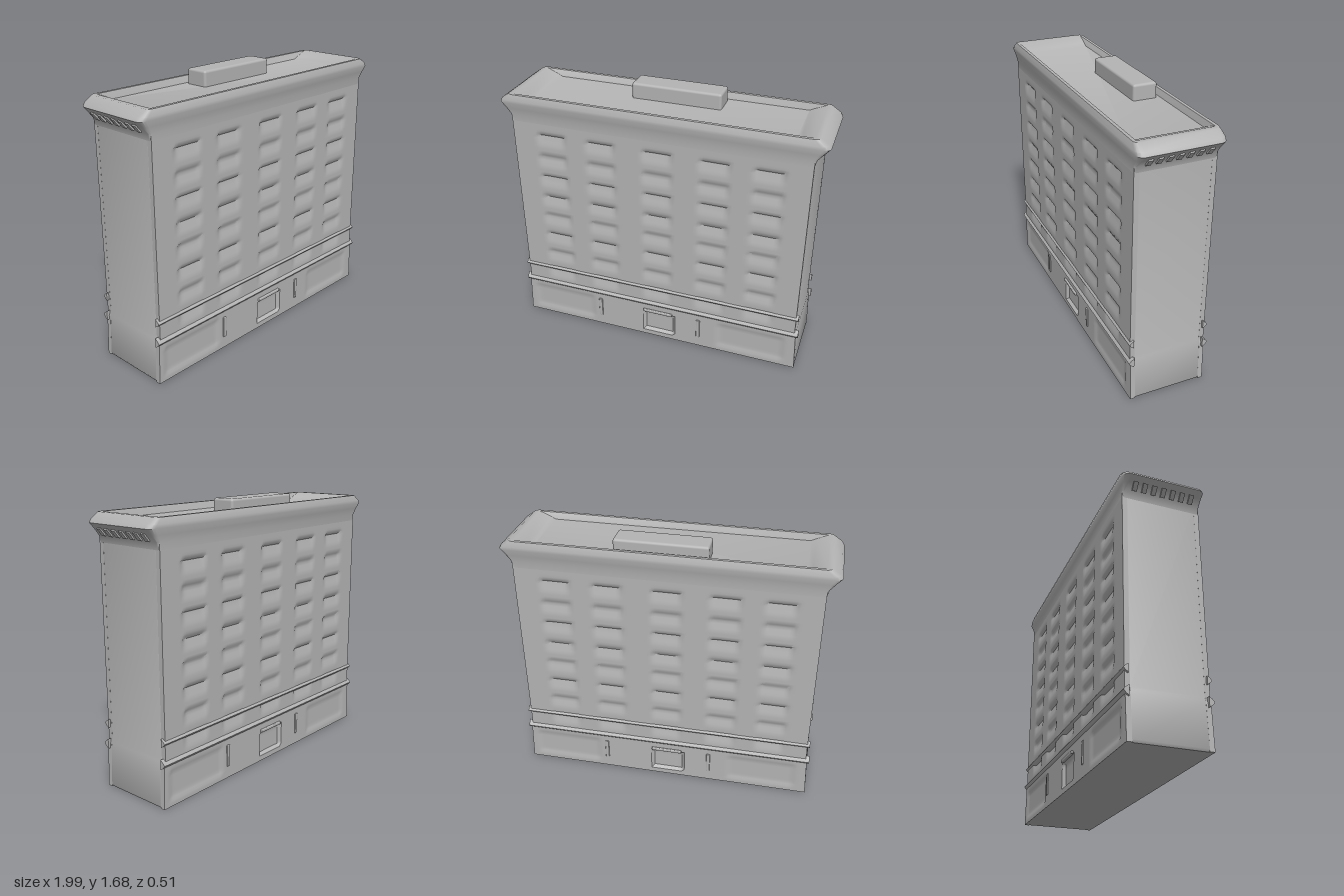
import * as THREE from 'three';
import { toCreasedNormals } from 'three/addons/utils/BufferGeometryUtils.js';
import { RoundedBoxGeometry } from 'three/addons/geometries/RoundedBoxGeometry.js';

const stone = new THREE.MeshStandardMaterial({ color: 0xb4b4b4 });
stone.name = 'grey stone';

function add(parent, name, geometry, x = 0, y = 0, z = 0) {
  const mesh = new THREE.Mesh(geometry, stone);
  mesh.name = name;
  mesh.position.set(x, y, z);
  parent.add(mesh);
  return mesh;
}

// Rounded rectangle outline, counter-clockwise seen from below
function outline([y, hx, hz, r]) {
  const points = [];
  [[1, 1], [-1, 1], [-1, -1], [1, -1]].forEach(([sx, sz], corner) => {
    for (let i = 0; i <= 3; i++) {
      const a = (corner + i / 3) * Math.PI / 2;
      points.push([sx * (hx - r) + r * Math.cos(a), y, sz * (hz - r) + r * Math.sin(a)]);
    }
  });
  return points;
}

// Skin over stacked outlines, closed at both ends
function loft(rings, crease) {
  const loops = rings.map(outline), n = loops[0].length, index = [];
  const vertices = loops.flat(2);
  for (let k = 0; k < loops.length - 1; k++) {
    for (let i = 0; i < n; i++) {
      const a = k * n + i, b = k * n + (i + 1) % n;
      index.push(a, a + n, b, b, a + n, b + n);
    }
  }
  const top = (loops.length - 1) * n;
  for (let i = 1; i < n - 1; i++) {
    index.push(0, i, i + 1, top, top + i + 1, top + i);
  }
  const geometry = new THREE.BufferGeometry();
  geometry.setAttribute('position', new THREE.Float32BufferAttribute(vertices, 3));
  geometry.setIndex(index);
  return toCreasedNormals(geometry, crease);
}

const smooth = THREE.MathUtils.smoothstep;
// 1 inside an interval, easing to 0 over a soft edge
const within = (v, a, b, soft) => smooth(v, a - soft, a) * (1 - smooth(v, b, b + soft));
const columns = [-0.67, -0.35, 0.01, 0.36, 0.68];
const halfWidth = (y) => (y < 0.28 ? 0.938 - 0.04 * y : 0.92);

// Depth of window and door recesses at a point of the wall
function recess(x, y) {
  let d = 0;
  for (const c of columns) {
    const across = within(x, c - 0.075, c + 0.075, 0.025);
    for (let row = 0; row < 8; row++) {
      const base = 0.31 + row * 0.143;
      const t = THREE.MathUtils.clamp((y - base) / 0.075, 0, 1);
      d += across * 0.017 * t * (1 - smooth(y, base + 0.07, base + 0.095));
    }
  }
  d += 0.02 * within(x, -0.08, 0.11, 0.015) * within(y, 0.05, 0.18, 0.015);
  for (const c of [-0.67, 0.64]) {
    d += 0.008 * within(x, c - 0.2, c + 0.2, 0.03) * within(y, 0.06, 0.2, 0.03);
  }
  return d;
}

// Wall slab with softly modelled openings
function facadeGeometry() {
  const geometry = new THREE.BoxGeometry(2, 1.5, 0.03, 100, 90, 1);
  const p = geometry.attributes.position;
  for (let i = 0; i < p.count; i++) {
    const y = p.getY(i) + 0.75, x = p.getX(i) * halfWidth(y);
    const front = p.getZ(i) > 0;
    p.setXYZ(i, x, y, front ? 0.24 - recess(x, y) : 0.21);
  }
  return toCreasedNormals(geometry, 0.7);
}

// Horizontal moulding with a pointed, slightly rounded nose
function bandGeometry(length, height, depth) {
  const s = new THREE.Shape();
  s.moveTo(0, -height / 2);
  s.quadraticCurveTo(depth * 0.7, -height * 0.3, depth, 0);
  s.quadraticCurveTo(depth * 0.7, height * 0.3, 0, height / 2);
  s.closePath();
  const geometry = new THREE.ExtrudeGeometry(s, { depth: length, bevelEnabled: false, curveSegments: 4 });
  geometry.translate(0, 0, -length / 2);
  geometry.rotateY(-Math.PI / 2);
  return toCreasedNormals(geometry, 0.9);
}

export function createModel() {
  const model = new THREE.Group();
  model.name = 'cityBuilding';

  // Solid core, visible on the plain end walls
  add(model, 'core', loft([
    [0, 0.93, 0.212, 0.004], [0.015, 0.938, 0.212, 0.004],
    [0.28, 0.926, 0.212, 0.004], [0.3, 0.92, 0.212, 0.004], [1.5, 0.92, 0.212, 0.004],
  ], 0.6));

  // Front and back walls with everything applied to them
  const wall = facadeGeometry();
  for (const [side, turn] of [['front', 0], ['back', Math.PI]]) {
    const facade = new THREE.Group();
    facade.name = side + 'Facade';
    facade.rotation.y = turn;
    add(facade, 'windowWall', wall);
    add(facade, 'lowerBand', bandGeometry(1.885, 0.06, 0.032), 0, 0.27, 0.222);
    add(facade, 'upperBand', bandGeometry(1.87, 0.05, 0.028), 0, 0.395, 0.222);
    add(facade, 'doorCanopy', new RoundedBoxGeometry(0.2, 0.02, 0.03, 2, 0.006), 0.01, 0.205, 0.237);
    for (const x of [-0.4, 0.29]) {
      add(facade, 'entrancePilaster', new RoundedBoxGeometry(0.025, 0.14, 0.02, 2, 0.005), x, 0.145, 0.237);
    }
    model.add(facade);
  }

  // Flared cornice, parapet and sunken roof
  add(model, 'corniceAndRoof', loft([
    [1.46, 0.92, 0.24, 0.012], [1.5, 0.93, 0.241, 0.015], [1.54, 0.965, 0.246, 0.03],
    [1.575, 0.997, 0.253, 0.04], [1.595, 0.985, 0.254, 0.04], [1.63, 0.935, 0.244, 0.03],
    [1.63, 0.905, 0.224, 0.01], [1.6, 0.83, 0.222, 0.005], [1.585, 0.8, 0.221, 0.004],
  ], 0.65));

  // Small brackets under the end cornices
  for (const side of [-1, 1]) {
    for (let i = 0; i < 7; i++) {
      const bracket = add(model, 'corniceBracket', new THREE.BoxGeometry(0.025, 0.055, 0.028),
        side * 0.952, 1.53, -0.174 + i * 0.058);
      bracket.rotation.z = -side * 0.7;
    }
  }

  // Rooftop plant room
  add(model, 'roofHousing', new RoundedBoxGeometry(0.56, 0.11, 0.15, 3, 0.015), 0.03, 1.625, -0.125);
  return model;
}
